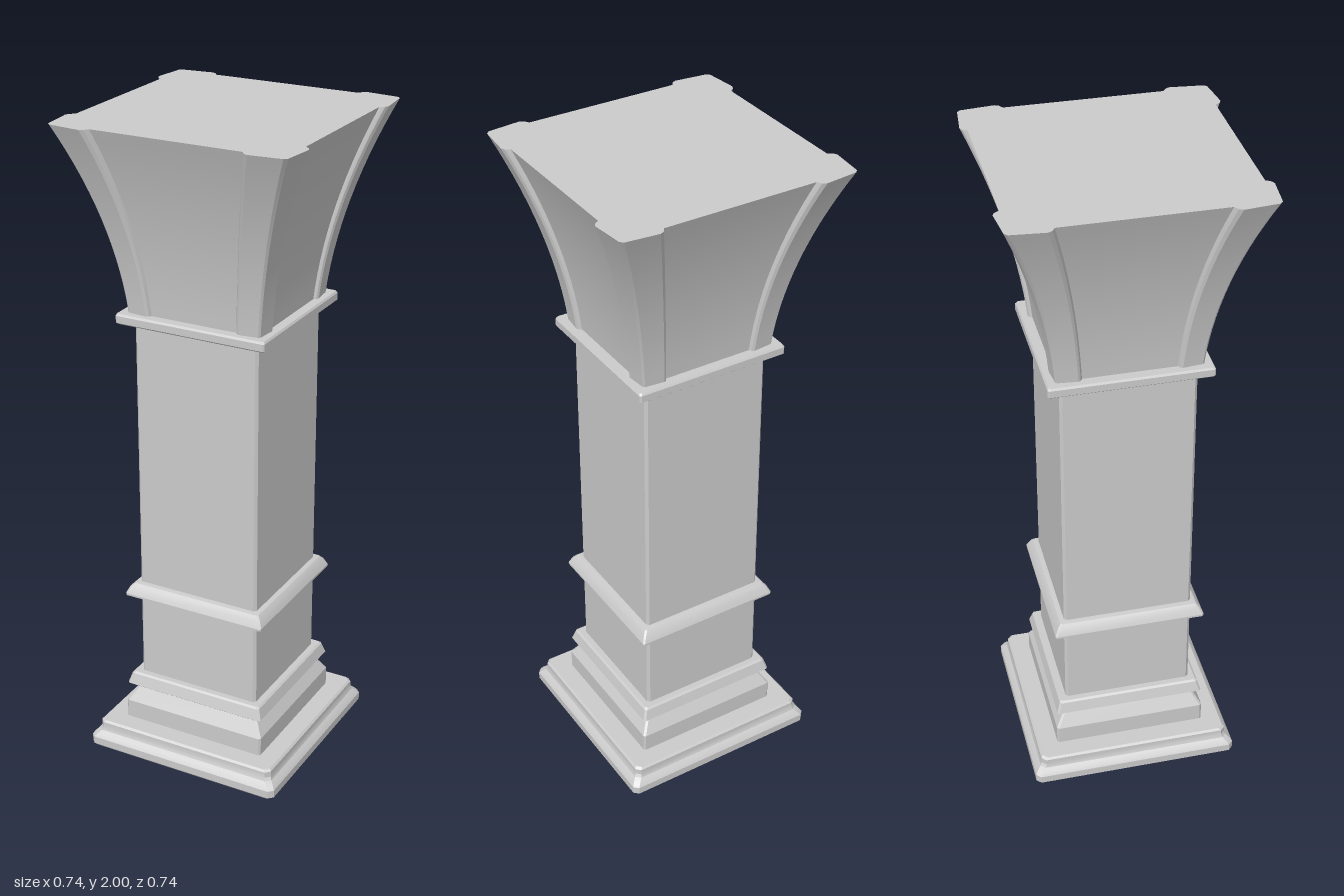
import * as THREE from 'three';
import { toCreasedNormals } from 'three/addons/utils/BufferGeometryUtils.js';

const material = new THREE.MeshStandardMaterial({ color: 0xcccccc });

// Joins stacked outlines ({ y, points: [[x, z], ...] }, bottom to top) and caps both ends.
function loft(name, sections) {
  const n = sections[0].points.length;
  const positions = [];
  const index = [];
  for (const { y, points } of sections) for (const [x, z] of points) positions.push(x, y, z);
  for (let s = 0; s < sections.length - 1; s++) {
    for (let i = 0; i < n; i++) {
      const a = s * n + i, b = s * n + (i + 1) % n;
      index.push(a, a + n, b, b, a + n, b + n);
    }
  }
  const top = (sections.length - 1) * n;
  const contour = sections[0].points.map(([x, z]) => new THREE.Vector2(x, z));
  for (const [a, b, c] of THREE.ShapeUtils.triangulateShape(contour, [])) {
    index.push(a, b, c, top + c, top + b, top + a);
  }
  const geometry = new THREE.BufferGeometry();
  geometry.setAttribute('position', new THREE.Float32BufferAttribute(positions, 3));
  geometry.setIndex(index);
  const mesh = new THREE.Mesh(toCreasedNormals(geometry, 0.4), material);
  mesh.name = name;
  return mesh;
}

// Square outline with chamfered corners.
function square(h, c) {
  const k = h - c;
  return [[h, -k], [h, k], [k, h], [-k, h], [-h, k], [-h, -k], [-k, -h], [k, -h]];
}

// Square moulding from a [half width, y] profile.
function moulding(name, profile, chamfer) {
  return loft(name, profile.map(([h, y]) => ({ y, points: square(h, chamfer) })));
}

// Scales one outline along the flaring curve of the capital.
function flare(name, outline) {
  const steps = 14, y0 = 1.44, y1 = 2;
  const sections = [];
  for (let i = 0; i <= steps; i++) {
    const t = i / steps;
    const s = 0.587 + 0.413 * (0.35 * t + 0.65 * t * t);
    sections.push({ y: y0 + (y1 - y0) * t, points: outline.map(([x, z]) => [x * s, z * s]) });
  }
  return loft(name, sections);
}

export function createModel() {
  const column = new THREE.Group();
  column.name = 'column';

  // Stepped base
  column.add(moulding('plinth', [
    [0.308, 0], [0.32, 0.012], [0.32, 0.036], [0.313, 0.046],
    [0.302, 0.056], [0.298, 0.066], [0.298, 0.084], [0.292, 0.09],
  ], 0.014));
  column.add(moulding('baseBlock', [[0.235, 0.088], [0.235, 0.148], [0.2, 0.205]], 0.006));
  column.add(moulding('baseRing', [[0.226, 0.205], [0.232, 0.21], [0.222, 0.243], [0.216, 0.248]], 0.006));

  // Shaft with its band and collar
  column.add(moulding('shaft', [[0.198, 0.2], [0.198, 1.42]], 0.008));
  column.add(moulding('shaftBand', [
    [0.232, 0.524], [0.232, 0.53], [0.222, 0.551], [0.212, 0.562], [0.198, 0.565],
  ], 0.005));
  column.add(moulding('collar', [
    [0.232, 1.408], [0.238, 1.413], [0.238, 1.434], [0.234, 1.44],
  ], 0.005));

  // Flared capital
  column.add(flare('capital', [[0.35, -0.35], [0.35, 0.35], [-0.35, 0.35], [-0.35, -0.35]]));

  // Corner ribs wrapping the capital's edges
  const rib = [
    [0.345, 0.23], [0.352, 0.232], [0.364, 0.24], [0.37, 0.252], [0.36, 0.351], [0.351, 0.36],
    [0.252, 0.37], [0.24, 0.364], [0.232, 0.352], [0.23, 0.345], [0.345, 0.345],
  ];
  for (let i = 0; i < 4; i++) {
    const corner = flare('cornerRib', rib);
    corner.rotation.y = i * Math.PI / 2;
    column.add(corner);
  }
  return column;
}
